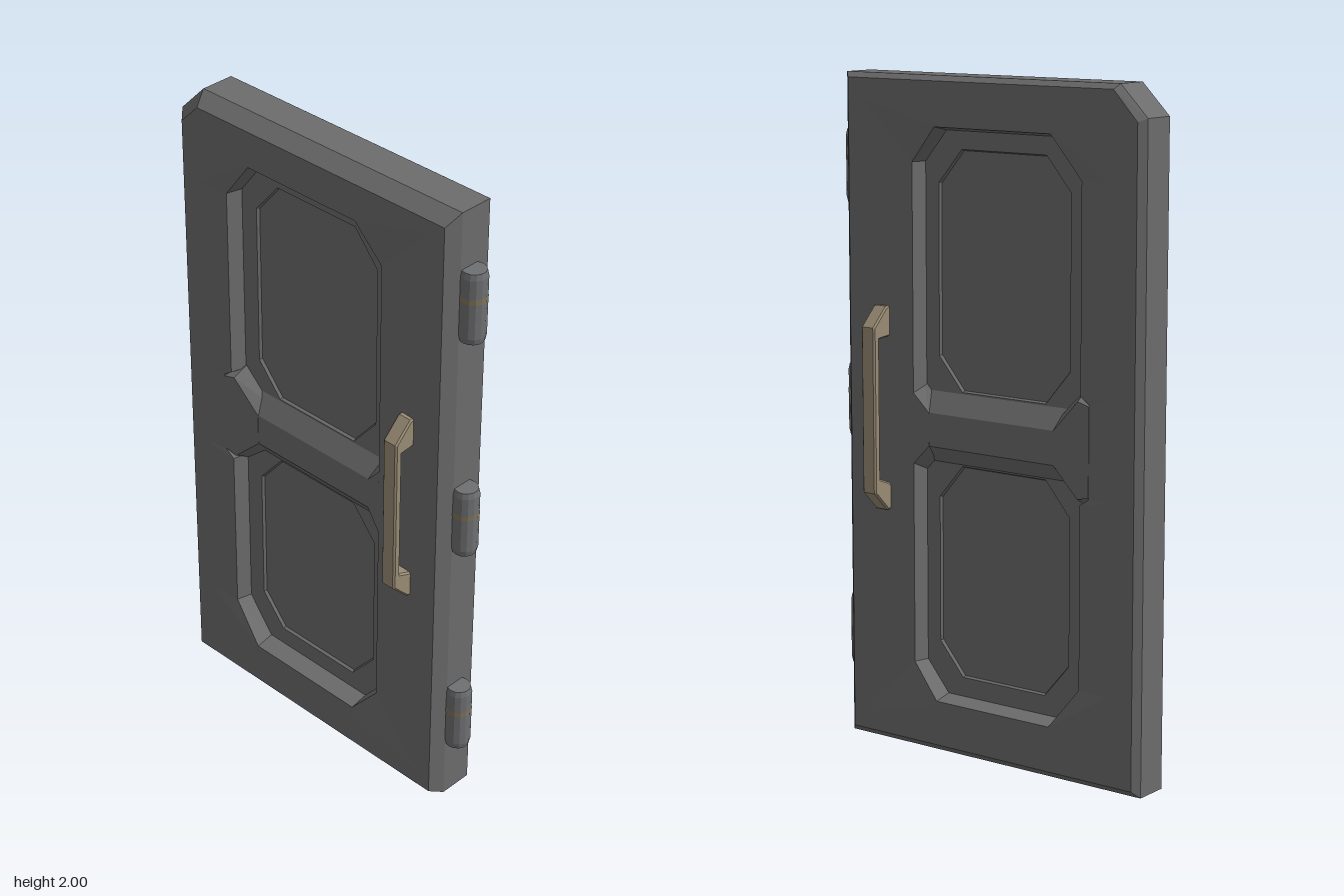
import * as THREE from 'three';

// Joins rings of [x, y, z] points (same count, counter-clockwise from +z), optionally capping the last.
function loft(rings, cap) {
  const pos = [];
  const tri = (a, b, c) => pos.push(...a, ...b, ...c);
  for (let r = 0; r < rings.length - 1; r++) {
    const a = rings[r], b = rings[r + 1], n = a.length;
    for (let i = 0; i < n; i++) {
      const j = (i + 1) % n;
      tri(a[i], a[j], b[j]);
      tri(a[i], b[j], b[i]);
    }
  }
  if (cap) {
    const last = rings[rings.length - 1], n = last.length;
    const mid = [0, 1, 2].map(k => last.reduce((s, p) => s + p[k], 0) / n);
    for (let i = 0; i < n; i++) tri(last[i], last[(i + 1) % n], mid);
  }
  const g = new THREE.BufferGeometry();
  g.setAttribute('position', new THREE.Float32BufferAttribute(pos, 3));
  g.computeVertexNormals();
  return g;
}

// Flat plate outline with holes, facing +z.
function plate(outline, holes, z) {
  const v = pts => pts.map(([x, y]) => new THREE.Vector2(x, y));
  const s = new THREE.Shape(v(outline));
  holes.forEach(h => s.holes.push(new THREE.Path(v(h))));
  return new THREE.ShapeGeometry(s).translate(0, 0, z).toNonIndexed();
}

// Mirrors a non-indexed geometry through z = 0, keeping faces outward.
function mirrorZ(g) {
  const p = g.attributes.position;
  const out = [];
  for (let t = 0; t < p.count; t += 3)
    for (const k of [0, 2, 1]) out.push(p.getX(t + k), p.getY(t + k), -p.getZ(t + k));
  const m = new THREE.BufferGeometry();
  m.setAttribute('position', new THREE.Float32BufferAttribute(out, 3));
  m.computeVertexNormals();
  return m;
}

const at = (pts, z) => pts.map(([x, y]) => [x, y, z]);

// Rectangle with cut corners, counter-clockwise.
const octagon = (x0, x1, y0, y1, cx, cy) => [
  [x0 + cx, y0], [x1 - cx, y0], [x1, y0 + cy], [x1, y1 - cy],
  [x1 - cx, y1], [x0 + cx, y1], [x0, y1 - cy], [x0, y0 + cy]];

export function createModel() {
  const door = new THREE.Group();
  door.name = 'door';
  const mat = (name, color) => {
    const m = new THREE.MeshStandardMaterial({ color, flatShading: true });
    m.name = name;
    return m;
  };
  const grey = mat('darkGrey', 0x6c6c6c);
  const steel = mat('hingeGrey', 0x6f7072);
  const tan = mat('handleTan', 0x9a8c75);
  const brass = mat('brass', 0x80745a);

  const add = (name, geo, material, parent = door) => {
    const m = new THREE.Mesh(geo, material);
    m.name = name;
    parent.add(m);
    return m;
  };

  const D = 0.085, FLOOR = 0.027, SUNK = 0.018, RAIL = 0.065;
  const edge = [[-0.56, 0], [0.5, 0], [0.5, 2], [-0.47, 2], [-0.56, 1.91]];
  const frontFace = [[-0.515, 0.02], [0.48, 0.02], [0.48, 1.965], [-0.45, 1.965], [-0.515, 1.9]];
  const backFace = [[-0.54, 0.02], [0.48, 0.02], [0.48, 1.985], [-0.46, 1.985], [-0.54, 1.9]];

  // Outer rim with chamfered edges
  add('rim', loft([at(backFace, -D), at(edge, -0.065), at(edge, 0.04), at(frontFace, D)]), grey);

  // Recess outline with a notch at mid height on one side
  const recess = [[-0.25, 0.155], [0.16, 0.155], [0.25, 0.26], [0.25, 1.75], [0.16, 1.855], [-0.25, 1.855],
    [-0.35, 1.73], [-0.35, 1.13], [-0.38, 1.11], [-0.38, 0.84], [-0.35, 0.82], [-0.35, 0.28]];
  const isSide = x => x < -0.3 || x > 0.2;
  const lip = recess.map(([x, y]) => [x, y, isSide(x) ? D - 0.01 : D]);
  const recessFloor = recess.map(([x, y]) => [
    isSide(x) ? x - Math.sign(x) * 0.012 : x,
    y > 1.8 ? y - 0.012 : y < 0.2 ? y + 0.012 : y]);
  // Start of the gentle slope from the frame to the recess, mitred on the hinge side
  const opening = recess.map(([x, y]) => x < -0.3 ? [-0.45, y]
    : x > 0.2 ? [0.43, y > 1 ? 1.93 : 0.07] : [x, y > 1 ? 1.865 : 0.145]);

  const panels = [octagon(-0.28, 0.19, 0.225, 0.865, 0.085, 0.1), octagon(-0.28, 0.19, 1.085, 1.79, 0.085, 0.1)];
  const sunk = [octagon(-0.276, 0.186, 0.229, 0.861, 0.083, 0.098), octagon(-0.276, 0.186, 1.089, 1.786, 0.083, 0.098)];

  for (const [side, face] of [['front', frontFace], ['back', backFace]]) {
    const group = new THREE.Group();
    group.name = side + 'Side';
    door.add(group);
    const put = (name, g) => add(name, side === 'back' ? mirrorZ(g) : g, grey, group);

    // Frame face, its inner slopes and the steep wall of the recess
    put('frame', plate(face, [opening], D));
    put('frameSlope', loft([at(opening, D), lip]));
    put('recessWall', loft([lip, at(recessFloor, FLOOR)]));
    put('recessFloor', plate(recessFloor, panels, FLOOR));

    // Upper and lower sunken panels
    panels.forEach((p, i) =>
      put(i ? 'upperPanel' : 'lowerPanel', loft([at(p, FLOOR), at(sunk[i], SUNK)], true)));

    // Cross rail between the panels
    const rail = (y0, y1, z) => [[-0.33, y0, z], [0.24, y0, z], [0.24, y1, z], [-0.33, y1, z]];
    put('crossRail', loft([rail(0.87, 1.08, FLOOR), rail(0.92, 1.02, RAIL)], true));

    // Bracket filling the notch and sloping down to the rail
    put('railBracket', loft([
      [[-0.38, 0.84, FLOOR], [-0.335, 0.81, FLOOR], [-0.24, 0.89, FLOOR],
        [-0.24, 1.05, FLOOR], [-0.335, 1.14, FLOOR], [-0.38, 1.11, FLOOR]],
      [[-0.38, 0.845, 0.077], [-0.34, 0.835, 0.074], [-0.25, 0.92, RAIL + 0.001],
        [-0.25, 1.02, RAIL + 0.001], [-0.34, 1.115, 0.074], [-0.38, 1.105, 0.077]]], true));
    // Flared end of the rail on the hinge side
    put('railEnd', loft([
      [[0.18, 0.9, FLOOR], [0.25, 0.83, FLOOR], [0.25, 1.11, FLOOR], [0.18, 1.04, FLOOR]],
      [[0.2, 0.92, RAIL + 0.001], [0.25, 0.865, 0.075], [0.25, 1.075, 0.075], [0.2, 1.02, RAIL + 0.001]]], true));
  }

  // Pull handles, profile drawn in depth and height
  const profile = [[0.08, 0.72], [0.09, 0.72], [0.145, 0.775], [0.145, 1.265], [0.09, 1.32], [0.08, 1.32],
    [0.08, 1.24], [0.13, 1.235], [0.13, 0.81], [0.08, 0.79]];
  const shape = new THREE.Shape(profile.map(([z, y]) => new THREE.Vector2(z, y)));
  for (const s of [1, -1]) {
    const g = new THREE.ExtrudeGeometry(shape, {
      depth: 0.04, bevelEnabled: true, bevelSize: 0.005, bevelThickness: 0.005, bevelSegments: 1 });
    g.translate(0, 0, -0.02).rotateY(-s * Math.PI / 2).translate(0.36, 0, 0);
    add(s > 0 ? 'frontHandle' : 'backHandle', g, tan);
  }

  // Hinge barrels with a thin brass ring
  for (const y of [0.303, 1.018, 1.72]) {
    const hinge = new THREE.Group();
    hinge.name = 'hinge';
    hinge.position.set(0.517, y, 0.006);
    door.add(hinge);
    const pts = [[0, -0.108], [0.035, -0.108], [0.039, -0.09], [0.039, 0.09], [0.035, 0.108], [0, 0.108]];
    add('hingeBarrel', new THREE.LatheGeometry(pts.map(([r, h]) => new THREE.Vector2(r, h)), 14), steel, hinge);
    add('hingeRing', new THREE.CylinderGeometry(0.0396, 0.0396, 0.016, 14, 1, true), brass, hinge)
      .position.y = 0.025;
  }

  return door;
}
